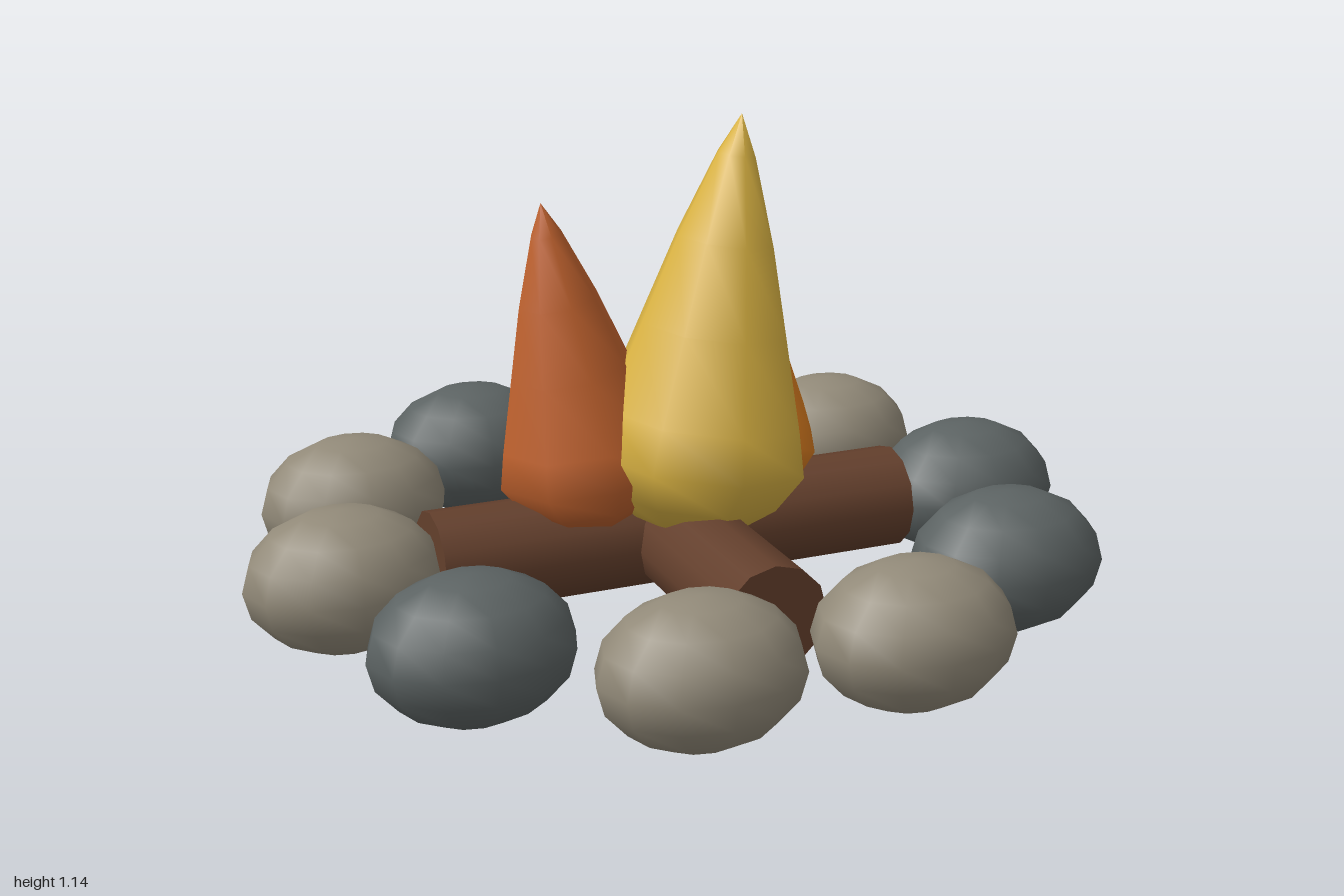
import * as THREE from 'three';

const mat = (name, color) => {
  const m = new THREE.MeshStandardMaterial({ color });
  m.name = name;
  return m;
};

export function createModel() {
  const paleStone = mat('pale stone', 0x928a79);
  const darkStone = mat('dark stone', 0x5c6363);
  const wood = mat('wood', 0x633f2c);
  const yellow = mat('yellow flame', 0xdab343);
  const orange = mat('orange flame', 0xdb7d20);
  const red = mat('red flame', 0xc0622e);

  const group = new THREE.Group();
  group.name = 'campfire';
  const add = (geometry, material, name) => {
    const mesh = new THREE.Mesh(geometry, material);
    mesh.name = name;
    group.add(mesh);
    return mesh;
  };

  // Ring of ten flattened stones
  const stoneGeometry = new THREE.SphereGeometry(1, 12, 8).scale(0.225, 0.163, 0.18);
  for (let i = 0; i < 10; i++) {
    const a = (i * Math.PI) / 5;
    const isDark = i === 0 || i % 3 === 1;
    const stone = add(stoneGeometry, isDark ? darkStone : paleStone, 'stone' + (i + 1));
    stone.position.set(0.775 * Math.cos(a), 0.166, 0.775 * Math.sin(a));
  }

  // Two crossed logs
  const logGeometry = new THREE.CylinderGeometry(0.12, 0.12, 1.15, 12);
  const logX = add(logGeometry, wood, 'logAcross');
  logX.rotation.z = Math.PI / 2;
  logX.position.y = 0.17;
  const logZ = add(logGeometry, wood, 'logFrontToBack');
  logZ.rotation.x = Math.PI / 2;
  logZ.position.y = 0.17;

  // Leaning teardrop flames; profile is [radius, height from the widest ring]
  const profile = [
    [0, -0.17], [0.13, -0.15], [0.205, -0.09], [0.26, 0], [0.235, 0.1],
    [0.175, 0.3], [0.115, 0.5], [0.045, 0.69], [0, 0.78],
  ].map(([r, h]) => new THREE.Vector2(r, h));
  const flameGeometry = new THREE.LatheGeometry(profile, 8);
  const up = new THREE.Vector3(0, 1, 0);
  const flame = (name, material, center, tip) => {
    const base = new THREE.Vector3(...center);
    const axis = new THREE.Vector3(...tip).sub(base);
    const mesh = add(flameGeometry, material, name);
    mesh.position.copy(base);
    mesh.scale.setScalar(axis.length() / 0.78);
    mesh.quaternion.setFromUnitVectors(up, axis.normalize());
  };
  flame('tallFlame', yellow, [0.03, 0.375, 0.085], [0.14, 1.145, 0.075]);
  flame('leftLeaningFlame', red, [-0.2, 0.35, -0.01], [-0.3, 0.965, -0.01]);
  flame('smallFlame', orange, [0.205, 0.325, -0.075], [0.17, 0.9, -0.055]);

  return group;
}
